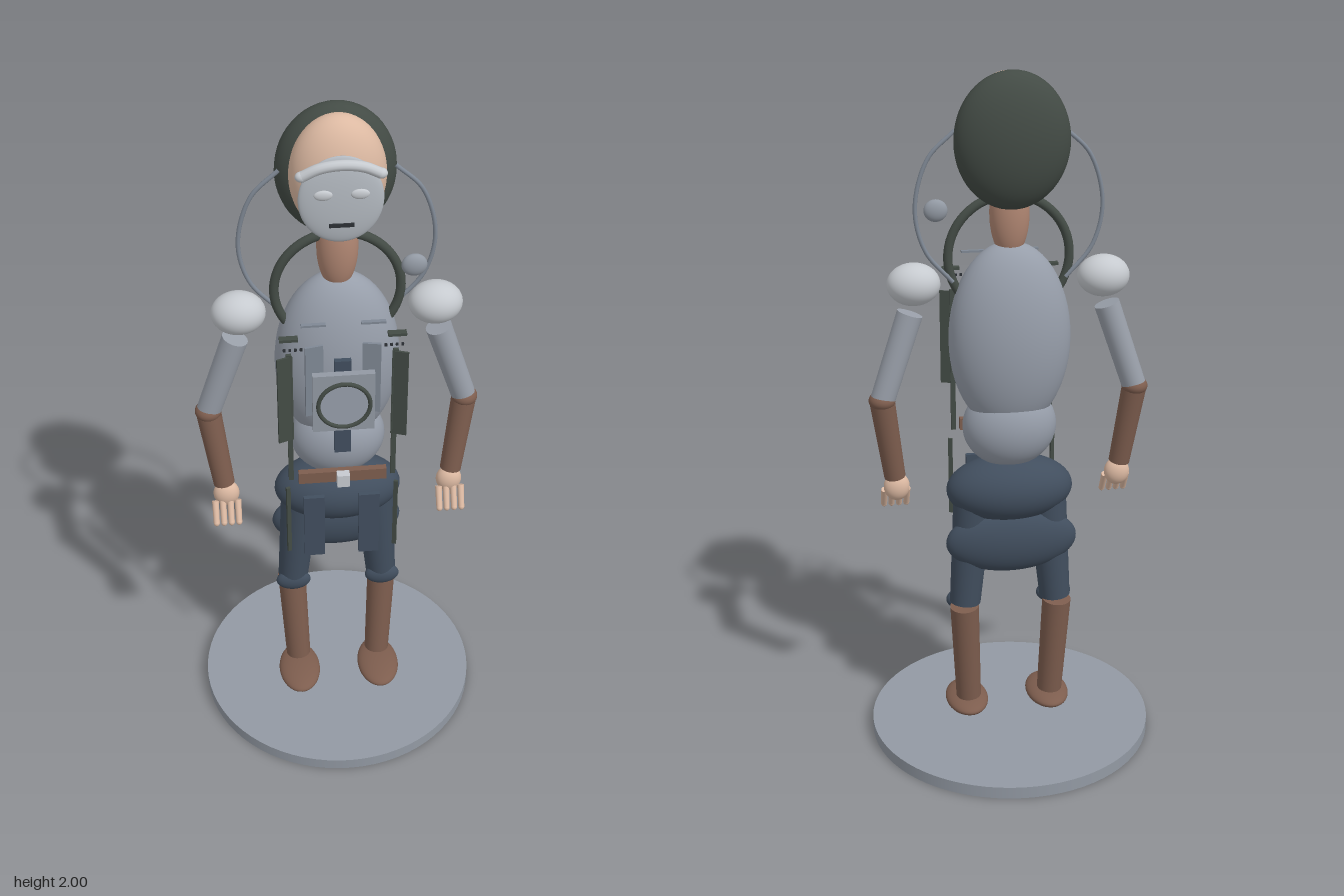
import * as THREE from 'three';

const mat = (color) => new THREE.MeshStandardMaterial({ color });
const V = (x, y, z) => new THREE.Vector3(x, y, z);

export function createModel() {
  const root = new THREE.Group();
  const M = {
    base: mat(0x9299a3), hair: mat(0x434b45), skin: mat(0xdcb9a2), neck: mat(0xb08672),
    cloth: mat(0x979eaa), sleeve: mat(0x9aa0aa), leather: mat(0x7d5d4e), trousers: mat(0x414e5e),
    pale: mat(0xc6cacf), mask: mat(0xb4bac1), dark: mat(0x2c3035), panel: mat(0x7f8894),
  };

  function add(name, geometry, material, x = 0, y = 0, z = 0) {
    const mesh = new THREE.Mesh(geometry, material);
    mesh.name = name;
    mesh.position.set(x, y, z);
    root.add(mesh);
    return mesh;
  }
  function ball(name, material, x, y, z, rx, ry, rz) {
    const mesh = add(name, new THREE.SphereGeometry(1, 40, 28), material, x, y, z);
    mesh.scale.set(rx, ry, rz);
    return mesh;
  }
  function box(name, material, x, y, z, w, h, d, turn = 0) {
    const mesh = add(name, new THREE.BoxGeometry(w, h, d), material, x, y, z);
    mesh.rotation.y = turn;
    return mesh;
  }
  // Tapered limb from the lower point to the upper point
  function limb(name, material, low, high, rLow, rHigh) {
    const dir = high.clone().sub(low);
    const mesh = add(name, new THREE.CylinderGeometry(rHigh, rLow, dir.length(), 28), material);
    mesh.position.copy(low).add(high).multiplyScalar(0.5);
    mesh.quaternion.setFromUnitVectors(V(0, 1, 0), dir.normalize());
    return mesh;
  }
  const tube = (name, material, points, r) =>
    add(name, new THREE.TubeGeometry(new THREE.CatmullRomCurve3(points), 48, r, 12), material);

  // Stand
  add('base', new THREE.CylinderGeometry(0.424, 0.424, 0.036, 72), M.base, 0, 0.018, 0);

  // Torso and hips
  ball('chest', M.cloth, 0, 1.25, 0, 0.175, 0.28, 0.11);
  ball('abdomen', M.cloth, 0, 0.985, 0.005, 0.137, 0.125, 0.097);
  ball('hips', M.trousers, 0, 0.79, 0.003, 0.187, 0.1, 0.107);
  ball('seat', M.trousers, 0, 0.635, -0.03, 0.195, 0.1, 0.057);

  // Neck, collar ring and head
  ball('neck', M.neck, 0, 1.61, 0.003, 0.056, 0.13, 0.048);
  add('collarRing', new THREE.TorusGeometry(0.172, 0.013, 14, 64), M.hair, 0, 1.485, 0.012);
  ball('head', M.skin, 0, 1.827, 0.012, 0.127, 0.167, 0.085);
  ball('hair', M.hair, 0, 1.815, -0.042, 0.16, 0.187, 0.082);

  // Face mask with brow, eyes and mouth
  ball('mask', M.mask, 0, 1.8, 0.096, 0.11, 0.122, 0.018);
  const brow = tube('brow', M.pale,
    [V(-0.1, -0.022, -0.004), V(-0.055, 0.001, 0.002), V(0, 0.009, 0.004), V(0.055, 0.001, 0.002), V(0.1, -0.022, -0.004)], 0.014);
  brow.position.set(0, 1.893, 0.104);
  for (const s of [-1, 1]) {
    ball('browEnd', M.pale, s * 0.1, 1.871, 0.1, 0.017, 0.014, 0.014);
    ball('eye', M.pale, s * 0.047, 1.823, 0.114, 0.024, 0.014, 0.007);
  }
  box('mouth', M.dark, 0, 1.735, 0.112, 0.064, 0.01, 0.008);

  // Small earpiece floating at the left shoulder
  ball('sidePod', M.base, 0.192, 1.6, 0.102, 0.034, 0.032, 0.018);

  for (const s of [-1, 1]) {
    // Air hoses from the head to the shoulders
    tube('hose', M.panel, [V(s * 0.15, 1.84, 0), V(s * 0.225, 1.765, 0), V(s * 0.262, 1.63, 0),
      V(s * 0.235, 1.51, 0), V(s * 0.16, 1.42, 0)], 0.006);

    // Arms
    ball('shoulder', M.pale, s * 0.27, 1.418, 0.005, 0.075, 0.06, 0.063);
    limb('upperArm', M.sleeve, V(s * 0.367, 1.085, -0.006), V(s * 0.282, 1.335, 0.004), 0.035, 0.037);
    ball('elbow', M.leather, s * 0.368, 1.085, -0.005, 0.038, 0.028, 0.04);
    limb('forearm', M.leather, V(s * 0.335, 0.84, 0.022), V(s * 0.368, 1.085, -0.005), 0.031, 0.036);
    ball('hand', M.skin, s * 0.33, 0.805, 0.028, 0.038, 0.042, 0.029);
    for (let i = 0; i < 4; i++) {
      const x = s * (0.298 + i * 0.022);
      limb('finger', M.skin, V(x, 0.732, 0.078), V(x, 0.79, 0.045), 0.009, 0.01);
      ball('fingertip', M.skin, x, 0.732, 0.078, 0.009, 0.01, 0.009);
    }

    // Legs
    limb('thigh', M.trousers, V(s * 0.137, 0.43, -0.007), V(s * 0.11, 0.76, -0.003), 0.046, 0.058);
    ball('knee', M.trousers, s * 0.138, 0.427, 0.018, 0.053, 0.035, 0.024);
    limb('shin', M.leather, V(s * 0.127, 0.1, 0.01), V(s * 0.141, 0.42, -0.018), 0.038, 0.043);
    ball('foot', M.leather, s * 0.127, 0.065, 0.05, 0.065, 0.026, 0.105);

    // Harness straps and hanging plates
    box('harnessStrap', M.hair, s * 0.145, 1.145, 0.135, 0.014, 0.43, 0.01);
    box('harnessPlate', M.hair, s * 0.157, 1.215, 0.143, 0.045, 0.28, 0.006, s * -0.35);
    box('hipStrap', M.hair, s * 0.155, 0.78, 0.138, 0.012, 0.24, 0.008, s * -0.35);
    box('hipFlap', M.trousers, s * 0.08, 0.74, 0.127, 0.06, 0.22, 0.014);
    box('chestPlate', M.panel, s * 0.078, 1.28, 0.15, 0.05, 0.225, 0.008, s * -0.2);
    box('collarTrim', M.panel, s * 0.08, 1.465, 0.157, 0.066, 0.006, 0.012);
    box('strapClip', M.hair, s * 0.145, 1.42, 0.15, 0.05, 0.008, 0.02);
    for (let i = 0; i < 4; i++) {
      box('stitch', M.dark, s * (0.113 + i * 0.015), 1.395, 0.165, 0.007, 0.007, 0.005);
    }
  }

  // Chest unit with round dial
  box('centrePlate', M.trousers, 0, 1.185, 0.145, 0.046, 0.31, 0.016);
  box('chestUnit', M.base, 0, 1.22, 0.169, 0.17, 0.185, 0.02);
  const dial = add('dial', new THREE.CylinderGeometry(0.07, 0.07, 0.01, 40), M.cloth, 0, 1.22, 0.184);
  dial.rotation.x = Math.PI / 2;
  add('dialRing', new THREE.TorusGeometry(0.071, 0.006, 12, 48), M.hair, 0, 1.22, 0.19);

  // Belt
  box('belt', M.leather, 0, 0.943, 0.145, 0.25, 0.036, 0.02);
  box('buckle', M.pale, 0, 0.945, 0.168, 0.036, 0.04, 0.026);

  return root;
}
